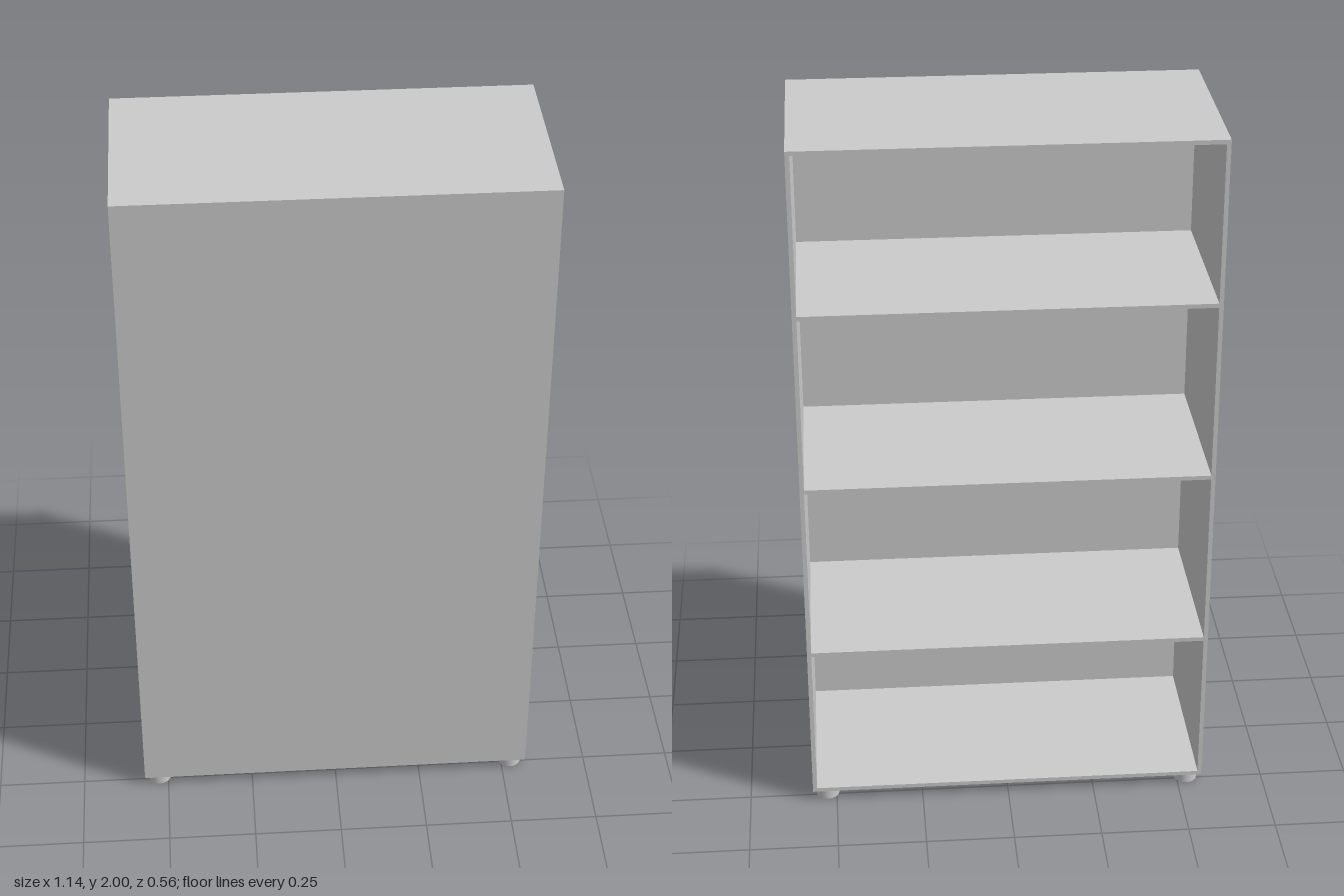
import * as THREE from 'three';

export function createModel() {
  const group = new THREE.Group();
  const material = new THREE.MeshStandardMaterial({ color: 0xcccccc });
  const W = 1.138, D = 0.558, footH = 0.03, top = 2, t = 0.012, panelT = 0.05;

  function add(name, geometry, x, y, z) {
    const mesh = new THREE.Mesh(geometry, material);
    mesh.name = name;
    mesh.position.set(x, y, z);
    group.add(mesh);
  }

  // Side walls
  const H = top - footH, midY = (top + footH) / 2;
  for (const s of [-1, 1]) {
    add(s > 0 ? 'leftSide' : 'rightSide', new THREE.BoxGeometry(t, H, D), s * (W - t) / 2, midY, 0);
  }

  // Closed front panel; the cabinet is open at the back
  const innerW = W - 2 * t;
  add('frontPanel', new THREE.BoxGeometry(innerW, H, panelT), 0, midY, (D - panelT) / 2);

  // Bottom, shelves and top, given by the height of their upper faces
  const boards = { bottom: footH + t, lowerShelf: 0.505, middleShelf: 1.027, upperShelf: 1.543, top };
  for (const [name, y] of Object.entries(boards)) {
    add(name, new THREE.BoxGeometry(innerW, t, D - panelT), 0, y - t / 2, -panelT / 2);
  }

  // Round feet
  for (const sx of [-1, 1]) {
    for (const sz of [-1, 1]) {
      add('foot', new THREE.CylinderGeometry(0.033, 0.033, footH, 32), sx * 0.526, footH / 2, sz * 0.241);
    }
  }
  return group;
}
